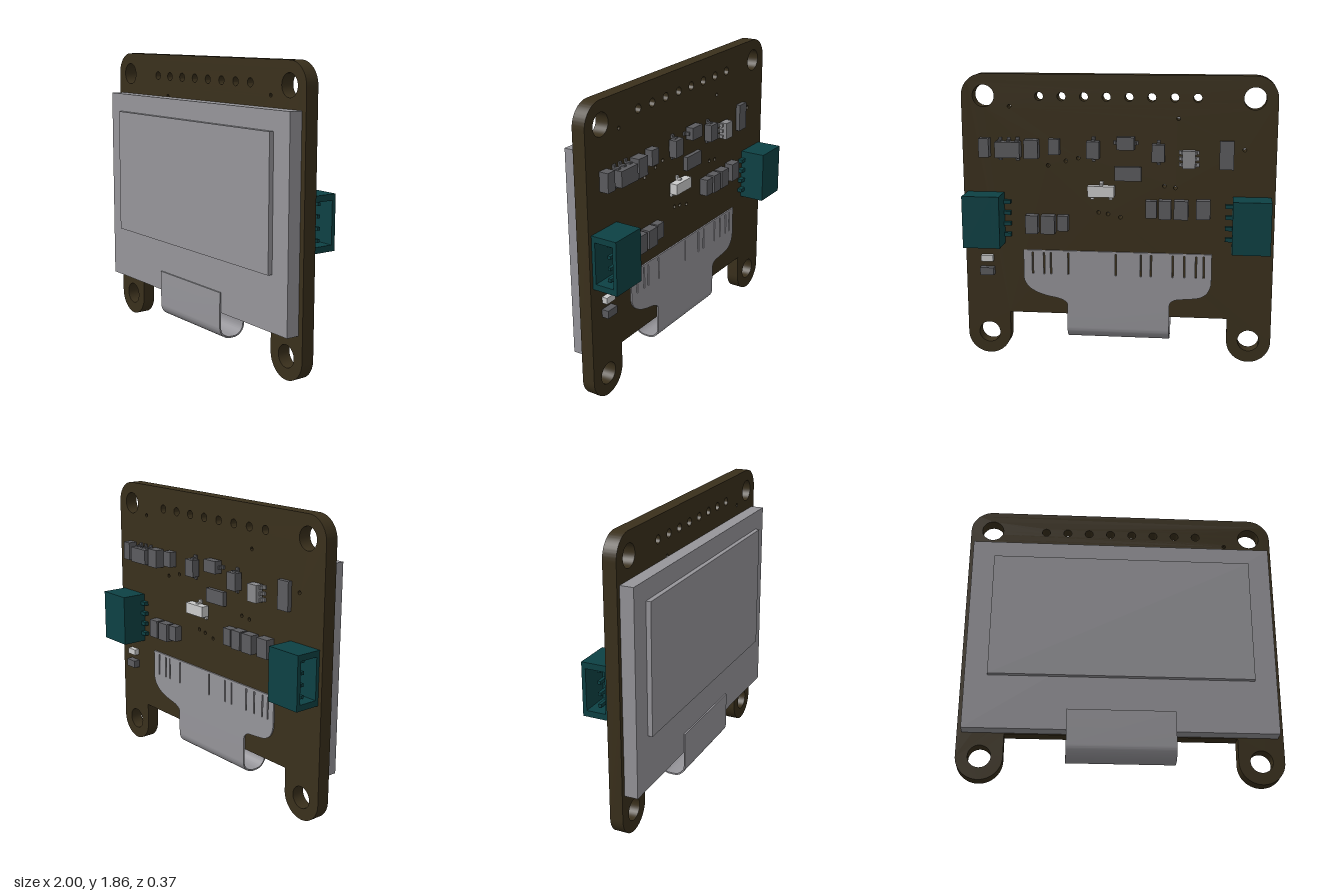
import * as THREE from 'three';
import { toCreasedNormals } from 'three/addons/utils/BufferGeometryUtils.js';

const mat = (color, side = THREE.FrontSide) => new THREE.MeshStandardMaterial({ color, side });
const BACK = -0.015;   // rear face of the board
const FRONT = 0.07;    // front face of the board

export function createModel() {
  const model = new THREE.Group();
  const boardMat = mat(0x3a301c), teal = mat(0x0d4144), chipMat = mat(0x5c5c5f);
  const glassMat = mat(0x96959a), light = mat(0xcccccc), flexMat = mat(0x96959a, THREE.DoubleSide);

  function add(name, geometry, material, parent = model) {
    const mesh = new THREE.Mesh(geometry, material);
    mesh.name = name;
    parent.add(mesh);
    return mesh;
  }
  // box given by its limits on each axis
  function box(name, [x0, x1], [y0, y1], [z0, z1], material, parent = model) {
    const g = new THREE.BoxGeometry(x1 - x0, y1 - y0, z1 - z0);
    g.translate((x0 + x1) / 2, (y0 + y1) / 2, (z0 + z1) / 2);
    return add(name, g, material, parent);
  }
  function extrude(shape, depth, curveSegments = 16) {
    return toCreasedNormals(
      new THREE.ExtrudeGeometry(shape, { depth, bevelEnabled: false, curveSegments }), 0.6);
  }
  function hole(shape, x, y, r) {
    shape.holes.push(new THREE.Path().absarc(x, y, r, 0, Math.PI * 2, true));
  }
  function rectHole(shape, x0, x1, y0, y1) {
    shape.holes.push(new THREE.Path([[x0, y0], [x0, y1], [x1, y1], [x1, y0]]
      .map(([x, y]) => new THREE.Vector2(x, y))));
  }

  // circuit board: rounded top corners and two rounded feet
  const r = 0.1425, PI = Math.PI;
  const board = new THREE.Shape();
  board.moveTo(-1, r);
  board.absarc(-1 + r, r, r, PI, 2 * PI, false);
  board.lineTo(-1 + 2 * r, 0.29);
  board.lineTo(1 - 2 * r, 0.29);
  board.lineTo(1 - 2 * r, r);
  board.absarc(1 - r, r, r, PI, 2 * PI, false);
  board.lineTo(1, 1.86 - r);
  board.absarc(1 - r, 1.86 - r, r, 0, PI / 2, false);
  board.lineTo(-1 + r, 1.86);
  board.absarc(-1 + r, 1.86 - r, r, PI / 2, PI, false);
  board.closePath();
  for (const x of [-0.857, 0.857]) for (const y of [0.145, 1.72]) hole(board, x, y, 0.07);
  for (let i = 0; i < 8; i++) hole(board, -0.503 + i * 0.143, 1.72, 0.027);
  const vias = [[0.69, 1.655], [-0.385, 1.59], [0.33, 1.31], [0.445, 1.28], [-0.8, 1.4],
    [0.12, 0.98], [0.06, 0.97], [-0.02, 0.95], [-0.37, 1.15], [-0.3, 1.16], [0.25, 1.33]];
  for (const [x, y] of vias) hole(board, x, y, 0.012);
  add('circuitBoard', extrude(board, FRONT - BACK).translate(0, 0, BACK), boardMat);

  // display panel and raised viewing area
  box('displayPanel', [-0.97, 0.965], [0.295, 1.585], [FRONT, 0.155], glassMat);
  box('displayWindow', [-0.83, 0.825], [0.64, 1.465], [0.155, 0.185], glassMat);

  // ribbon cable: strip that loops under the board (profile x is minus z)
  const bend = new THREE.Shape();
  bend.moveTo(-0.165, 0.425);
  bend.lineTo(-0.165, 0.2);
  bend.absarc(-0.085, 0.2, 0.08, PI, 1.5 * PI, false);
  bend.absarc(-0.055, 0.2, 0.08, 1.5 * PI, 2 * PI, false);
  bend.lineTo(0.025, 0.38);
  bend.lineTo(0.015, 0.38);
  bend.lineTo(0.015, 0.2);
  bend.absarc(-0.055, 0.2, 0.07, 2 * PI, 1.5 * PI, true);
  bend.absarc(-0.085, 0.2, 0.07, 1.5 * PI, PI, true);
  bend.lineTo(-0.155, 0.425);
  bend.closePath();
  add('ribbonBend', extrude(bend, 0.67).rotateY(PI / 2).translate(-0.34, 0, 0), flexMat);

  // ribbon tail: widened part on the rear, with slits between the contacts
  const tail = new THREE.Shape();
  tail.moveTo(0.615, 0.72);
  tail.lineTo(-0.61, 0.72);
  tail.lineTo(-0.61, 0.53);
  tail.quadraticCurveTo(-0.6, 0.43, -0.5, 0.42);
  tail.lineTo(-0.39, 0.41);
  tail.quadraticCurveTo(-0.34, 0.4, -0.34, 0.36);
  tail.lineTo(0.33, 0.36);
  tail.quadraticCurveTo(0.34, 0.385, 0.4, 0.4);
  tail.quadraticCurveTo(0.6, 0.43, 0.615, 0.53);
  tail.closePath();
  for (const x of [0.555, 0.48, 0.435, 0.32, 0.01, -0.155, -0.22, -0.36, -0.435, -0.51, -0.56])
    rectHole(tail, x - 0.005, x + 0.005, 0.56, 0.705);
  add('ribbonTail', extrude(tail, 0.01).translate(0, 0, -0.025), flexMat);

  // side sockets, open towards the board's edges
  function socket(name) {
    const g = new THREE.Group();
    g.name = name;
    const H = 0.168;
    const rim = new THREE.Shape([[0, -H], [0.17, -H], [0.17, H], [0, H]]
      .map(([x, y]) => new THREE.Vector2(x, y)));
    rectHole(rim, 0.022, 0.145, -0.13, 0.13);
    add('socketShell', extrude(rim, 0.19).rotateY(PI / 2).translate(0.785, 0, 0), teal, g);
    box('socketEndWall', [0.735, 0.785], [-H, H], [-0.17, 0], teal, g);
    for (let i = 0; i < 4; i++) {
      const y = (i - 1.5) * 0.072;
      box('contactPin', [0.785, 0.93], [y - 0.01, y + 0.01], [-0.095, -0.075], teal, g);
      box('solderLead', [0.69, 0.735], [y - 0.012, y + 0.012], [-0.03, 0], teal, g);
    }
    g.position.set(0, 0.932, BACK);
    model.add(g);
    return g;
  }
  socket('leftSocket');
  socket('rightSocket').rotation.z = PI;

  // surface parts on the rear: body block plus optional leads on its edges
  function chip(name, x, y, w, h, d, leads = {}, material = chipMat) {
    const g = new THREE.Group();
    g.name = name;
    const lift = Object.keys(leads).length ? 0.008 : 0;
    box('body', [-w / 2, w / 2], [-h / 2, h / 2], [-d, -lift], material, g);
    const t = 0.011, out = 0.024;
    for (const [edge, count] of Object.entries(leads)) {
      const upright = edge === 'top' || edge === 'bottom';
      const sign = edge === 'top' || edge === 'left' ? 1 : -1;
      const reach = (upright ? h : w) / 2, span = upright ? w : h;
      for (let i = 0; i < count; i++) {
        const c = count === 1 ? 0 : (i / (count - 1) - 0.5) * span * 0.7;
        const along = [c - t, c + t];
        const foot = [sign * reach, sign * (reach + out)].sort((a, b) => a - b);
        const near = [sign * reach, sign * (reach + 0.01)].sort((a, b) => a - b);
        const place = (n, o, z) => box(n, upright ? along : o, upright ? o : along, z, material, g);
        place('leadFoot', foot, [-0.012, 0]);
        place('leadRiser', near, [-d * 0.6, -0.012]);
      }
    }
    g.position.set(x, y, BACK);
    model.add(g);
  }

  // plain blocks: x, y, width, height, depth
  const blocks = [
    [0.85, 1.394, 0.066, 0.12, 0.06], [0.545, 1.39, 0.09, 0.12, 0.065], [0.4, 1.405, 0.07, 0.1, 0.05],
    [0.55, 0.9, 0.08, 0.12, 0.06], [0.445, 0.9, 0.09, 0.12, 0.06], [0.35, 0.91, 0.07, 0.1, 0.05],
    [-0.22, 1.015, 0.07, 0.11, 0.055], [-0.308, 1.015, 0.08, 0.12, 0.06],
    [-0.41, 1.015, 0.09, 0.12, 0.06], [-0.55, 1.02, 0.09, 0.12, 0.06],
    [0.855, 0.575, 0.09, 0.05, 0.045],
  ];
  for (const b of blocks) chip('capacitor', ...b);
  chip('statusLight', 0.855, 0.66, 0.08, 0.04, 0.035, {}, light);
  chip('regulator', 0.695, 1.385, 0.16, 0.1, 0.075, { top: 3, bottom: 2 });
  chip('diode', 0.15, 1.39, 0.08, 0.11, 0.06, { top: 1, bottom: 1 });
  chip('diode', -0.057, 1.435, 0.11, 0.08, 0.06, { left: 1, right: 1 });
  chip('diode', -0.263, 1.377, 0.08, 0.11, 0.06, { top: 1, bottom: 1 });
  chip('levelShifter', -0.455, 1.34, 0.08, 0.11, 0.06, { left: 3, right: 3 }, mat(0x8a8a8c));
  chip('transistor', 0.1, 1.125, 0.17, 0.07, 0.06, { top: 1, bottom: 2 }, light);
  chip('resistorArray', -0.07, 1.237, 0.17, 0.09, 0.028);
  chip('resistorArray', -0.69, 1.366, 0.09, 0.18, 0.028);

  return model;
}
